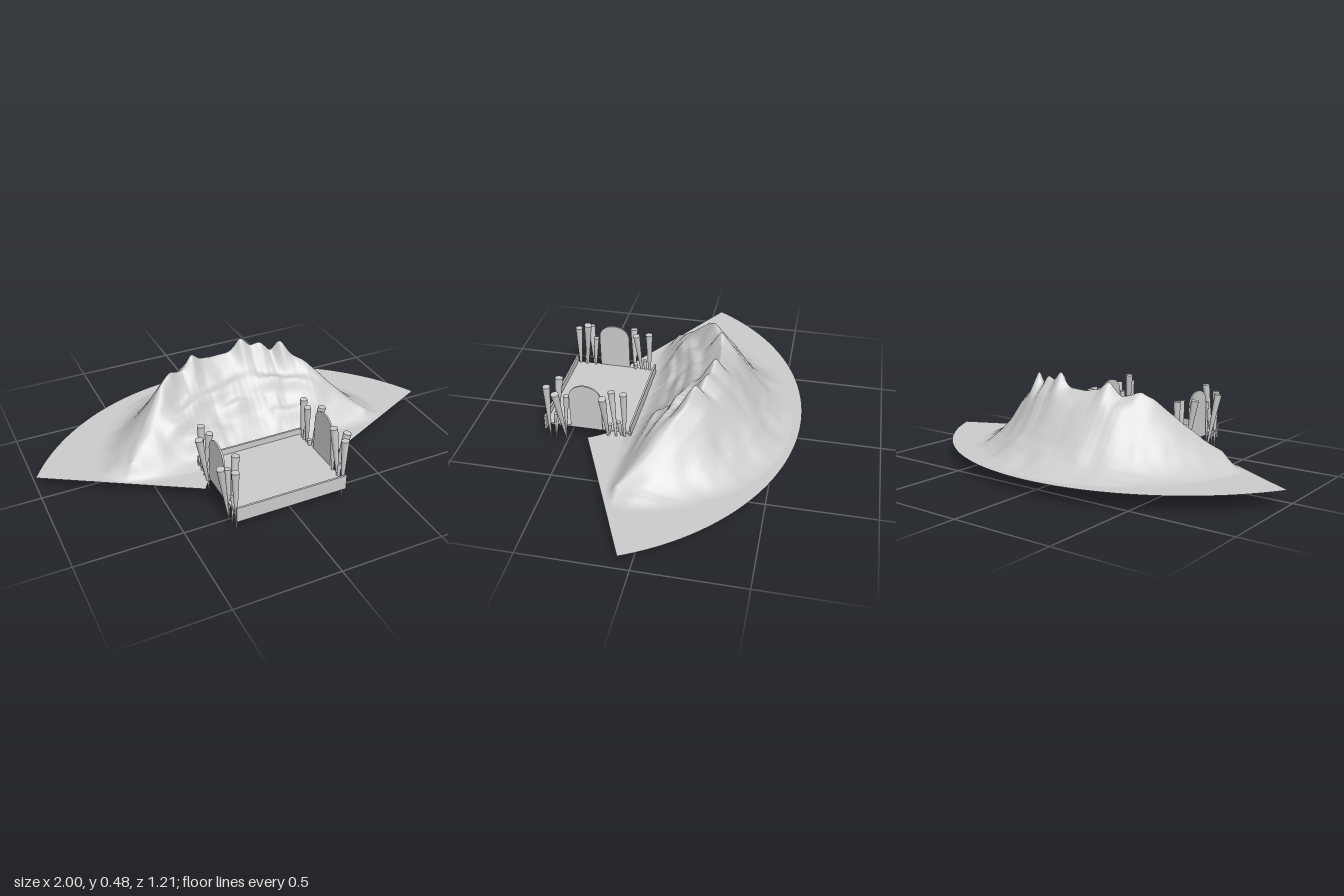
import * as THREE from 'three';

const GROUND = 0.075;
const grey = new THREE.MeshStandardMaterial({ color: 0xcccccc, side: THREE.DoubleSide });

const { lerp, clamp, smoothstep, degToRad } = THREE.MathUtils;

// Linear lookup in a short list of [key, value] pairs
function lookup(points, k) {
  if (k <= points[0][0]) return points[0][1];
  for (let i = 1; i < points.length; i++) {
    const [a, va] = points[i - 1], [b, vb] = points[i];
    if (k <= b) return lerp(va, vb, (k - a) / (b - a));
  }
  return points[points.length - 1][1];
}
// The same, averaged over a window
function smoothLookup(points, k, width) {
  let sum = 0;
  for (let i = -3; i <= 3; i++) sum += lookup(points, k + (i / 3) * width);
  return sum / 7;
}

// Seeded value noise
function hash(i, j) {
  const s = Math.sin(i * 127.1 + j * 311.7 + 4.3) * 43758.5453;
  return s - Math.floor(s);
}
function noise(x, y) {
  const i = Math.floor(x), j = Math.floor(y);
  const u = smoothstep(x - i, 0, 1), v = smoothstep(y - j, 0, 1);
  return lerp(lerp(hash(i, j), hash(i + 1, j), u), lerp(hash(i, j + 1), hash(i + 1, j + 1), u), v) - 0.5;
}

// Ring sector the ground covers
const sector = { x: -0.03, z: 0.53, inner: 0.35, outer: 1.138, from: degToRad(-58.7), to: degToRad(65) };

// Skyline height along x
const skyline = [
  [-0.73, 0], [-0.67, 0.025], [-0.6, 0.065], [-0.5, 0.155], [-0.4, 0.265], [-0.36, 0.315], [-0.3, 0.352],
  [-0.26, 0.33], [-0.22, 0.325], [-0.165, 0.395], [-0.12, 0.35], [-0.05, 0.34], [0.04, 0.342], [0.07, 0.365],
  [0.1, 0.42], [0.15, 0.365], [0.2, 0.383], [0.25, 0.325], [0.29, 0.395], [0.34, 0.31], [0.4, 0.275],
  [0.5, 0.165], [0.6, 0.07], [0.67, 0.025], [0.73, 0],
];
// Falls from the ridge to the foot: behind, and over the shelves in front
const backFall = [[0, 1], [0.2, 0.8], [0.4, 0.5], [0.55, 0.3], [0.7, 0.15], [0.85, 0.05], [1, 0]];
const shelfFall = [[0, 1], [0.24, 0.64], [0.37, 0.57], [0.43, 0.45], [0.52, 0.4], [0.6, 0.28], [0.7, 0.2], [0.85, 0.06], [1, 0]];
// Rock ledges on the hollow front: x, z, half length, half depth, height, slant
const ledges = [
  [-0.04, -0.075, 0.17, 0.035, 0.022, -0.1], [0.27, -0.01, 0.17, 0.035, 0.03, 0.42],
  [-0.28, 0.02, 0.11, 0.035, 0.035, -0.3], [0.02, -0.01, 0.16, 0.03, 0.02, 0],
  [-0.23, 0.08, 0.13, 0.03, 0.028, -0.1], [0.27, 0.085, 0.14, 0.03, 0.028, 0.2],
];

function terrainHeight(x, z, angle, radius) {
  const ridgeZ = Math.min(0.13, -0.205 + 0.82 * x * x);
  const backZ = 0.15 - 0.72 * Math.sqrt(Math.max(0, 1 - (x / 0.75) ** 2));
  const frontZ = 0.21;
  const behind = z < ridgeZ;
  const t = behind ? (ridgeZ - z) / Math.max(0.02, ridgeZ - backZ) : (z - ridgeZ) / (frontZ - ridgeZ);
  if (t >= 1) return GROUND;

  // Jagged peaks blend to a broad shape away from the ridge, rounding off at the ends
  const top = lerp(smoothLookup(skyline, x, 0.012), smoothLookup(skyline, x, 0.1), smoothstep(t, 0, 0.3));
  const fall = behind ? smoothLookup(backFall, t, 0.02) : smoothLookup(shelfFall, t, 0.03);
  const rounded = 0.5 + 0.5 * Math.cos(Math.PI * t);
  const ends = behind ? smoothstep(Math.abs(x), 0.35, 0.65) : smoothstep(Math.abs(x), 0.25, 0.45);
  let h = top * lerp(fall, rounded, ends);

  // Gullies running down the back, and rough rock
  const mask = Math.sin(Math.PI * t) * clamp(top / 0.2, 0, 1);
  h += mask * ((behind ? 0.022 : 0.012) * noise(angle * 12 + z, z * 4 + 9) + 0.015 * noise(x * 13, z * 15));
  if (!behind) {
    for (const [lx, lz, rx, rz, height, slant] of ledges) {
      const dx = x - lx, dz = z - lz - slant * dx + 0.006 * Math.sin(dx * 25);
      h += height * Math.exp(-((dx / rx) ** 4) - (dz / rz) ** 2) * clamp(mask * 1.5, 0, 1);
    }
  }
  // Flatten towards the straight edges and the two ends
  const edge = radius * Math.min(angle - sector.from, sector.to - angle);
  h *= smoothstep(edge, 0, 0.07) * smoothstep(0.75 - Math.abs(x), 0, 0.08);
  return GROUND + Math.max(0, h);
}

// Ground with the mountain raised from it
function buildTerrain() {
  const cols = 220, rows = 130;
  const positions = [], index = [];
  for (let j = 0; j <= rows; j++) {
    const r = lerp(sector.inner, sector.outer, j / rows);
    for (let i = 0; i <= cols; i++) {
      const a = lerp(sector.from, sector.to, i / cols);
      const x = sector.x + r * Math.sin(a), z = sector.z - r * Math.cos(a);
      positions.push(x, terrainHeight(x, z, a, r), z);
      if (i < cols && j < rows) {
        const p = j * (cols + 1) + i, q = p + cols + 1;
        index.push(p, p + 1, q, p + 1, q + 1, q);
      }
    }
  }
  const geo = new THREE.BufferGeometry();
  geo.setAttribute('position', new THREE.Float32BufferAttribute(positions, 3));
  geo.setIndex(index);
  geo.computeVertexNormals();
  return geo;
}

function add(parent, name, geometry, x = 0, y = 0, z = 0) {
  const mesh = new THREE.Mesh(geometry, grey);
  mesh.name = name;
  mesh.position.set(x, y, z);
  parent.add(mesh);
  return mesh;
}

// Sharpened log from a broad top to a pointed foot
function addStake(parent, top, foot, radius) {
  const a = new THREE.Vector3(...top), b = new THREE.Vector3(...foot);
  const dir = a.clone().sub(b);
  const stake = add(parent, 'stake', new THREE.CylinderGeometry(radius, 0.002, dir.length(), 14));
  stake.position.copy(a).add(b).multiplyScalar(0.5);
  stake.quaternion.setFromUnitVectors(new THREE.Vector3(0, 1, 0), dir.normalize());
}

// Stakes of one side: top, foot, radius (x measured from the platform's middle)
const stakes = [
  [[0.268, 0.315, 0.58], [0.265, 0.005, 0.583], 0.018],
  [[0.24, 0.355, 0.522], [0.272, 0.015, 0.552], 0.019],
  [[0.312, 0.31, 0.525], [0.262, 0, 0.5], 0.019],
  [[0.262, 0.27, 0.488], [0.262, 0.03, 0.505], 0.014],
  [[0.268, 0.165, 0.545], [0.258, 0.04, 0.56], 0.01],
  [[0.265, 0.32, 0.207], [0.265, 0.01, 0.21], 0.018],
  [[0.312, 0.315, 0.297], [0.262, 0.01, 0.288], 0.019],
  [[0.25, 0.315, 0.27], [0.275, 0.01, 0.245], 0.017],
  [[0.268, 0.16, 0.235], [0.258, 0.04, 0.222], 0.011],
  [[0.262, 0.135, 0.28], [0.268, 0.04, 0.292], 0.011],
];

export function createModel() {
  const model = new THREE.Group();
  model.name = 'mountainStage';
  add(model, 'mountainTerrain', buildTerrain());

  // Platform with end boards; the rear one rests on the ground
  const platform = new THREE.Group();
  platform.name = 'platform';
  platform.position.x = -0.022;
  model.add(platform);
  add(platform, 'floor', new THREE.BoxGeometry(0.54, 0.008, 0.42), 0, 0.102, 0.391);
  add(platform, 'frontBoard', new THREE.BoxGeometry(0.546, 0.074, 0.009), 0, 0.103, 0.601);
  add(platform, 'rearBoard', new THREE.BoxGeometry(0.546, 0.062, 0.009), 0, 0.107, 0.181);

  // Arched panel and stakes on each side
  const arch = new THREE.Shape();
  arch.moveTo(-0.078, 0);
  arch.lineTo(0.078, 0);
  arch.lineTo(0.078, 0.175);
  arch.absellipse(0, 0.175, 0.078, 0.068, 0, Math.PI, false);
  arch.closePath();
  const archGeo = new THREE.ExtrudeGeometry(arch, { depth: 0.008, bevelEnabled: false, curveSegments: 20 });
  archGeo.translate(0, 0, -0.004);
  archGeo.rotateY(Math.PI / 2);
  for (const side of [-1, 1]) {
    add(platform, side > 0 ? 'leftArch' : 'rightArch', archGeo, side * 0.27, 0.102, 0.393);
    const group = new THREE.Group();
    group.name = side > 0 ? 'leftStakes' : 'rightStakes';
    platform.add(group);
    for (const [top, foot, radius] of stakes) {
      addStake(group, [side * top[0], top[1], top[2]], [side * foot[0], foot[1], foot[2]], radius);
    }
  }
  return model;
}
